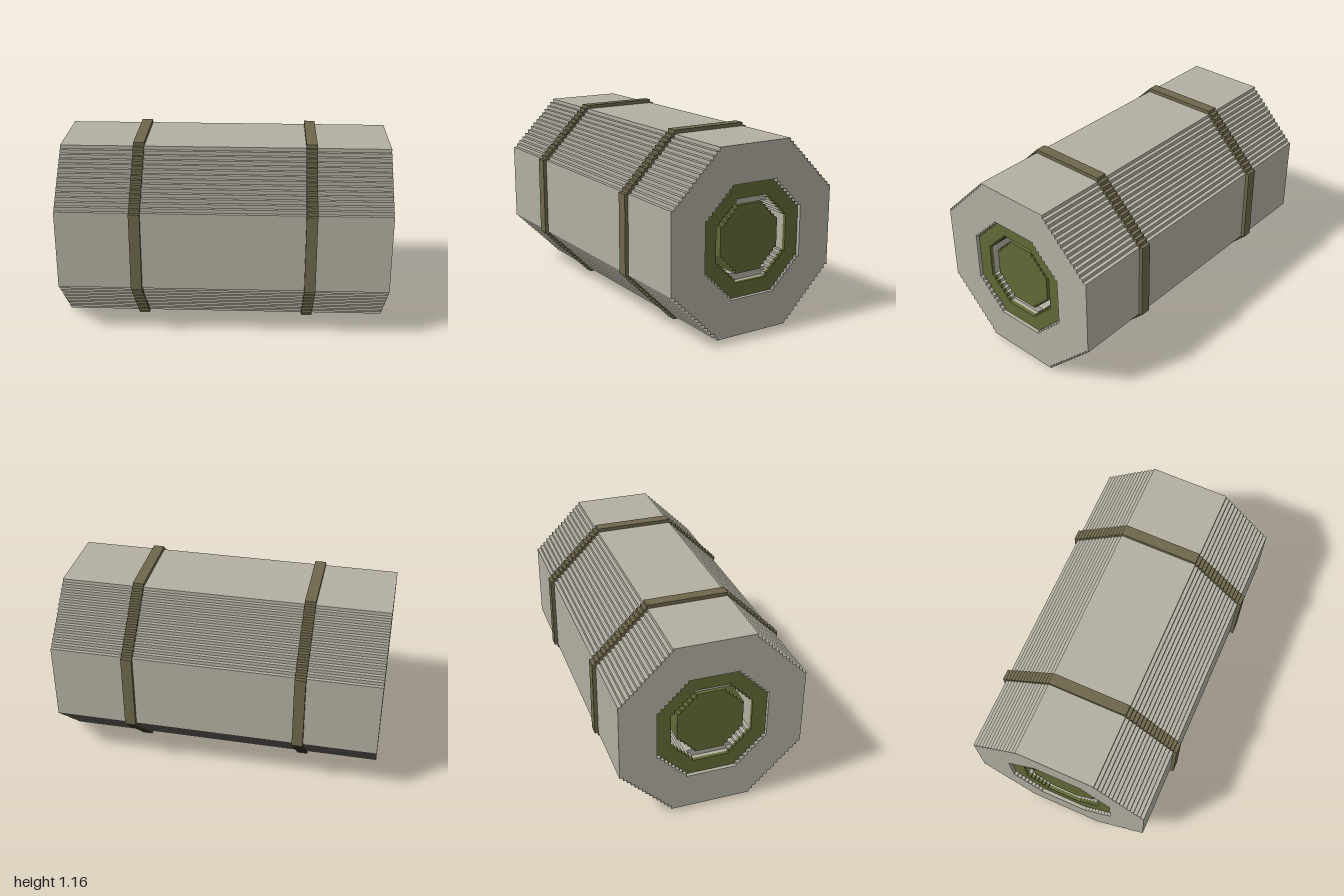
import * as THREE from 'three';

const U = 1 / 45; // one block
const CY = 26 * U; // height of the long axis

// corners of a stepped octagon with half size r and half flat f, in blocks
function steppedOctagon(r, f) {
  const quarter = [];
  for (let i = 0; i <= r - f; i++) {
    quarter.push([r - i, f + i]);
    if (i < r - f) quarter.push([r - i - 1, f + i]);
  }
  const points = [];
  for (let q = 0; q < 4; q++) {
    for (const [x, y] of quarter) {
      const p = [[x, y], [-y, x], [-x, -y], [y, -x]][q];
      points.push(new THREE.Vector2(p[0] * U, p[1] * U));
    }
  }
  return points;
}

export function createModel() {
  const model = new THREE.Group();
  model.name = 'cylinderBundle';

  const makeMaterial = (name, color) => {
    const m = new THREE.MeshStandardMaterial({ color });
    m.name = name;
    return m;
  };
  const beige = makeMaterial('beige', 0xb2aea1);
  const olive = makeMaterial('olive', 0x626937);
  const strapBrown = makeMaterial('strapBrown', 0x6e674b);

  const add = (name, geometry, material) => {
    const mesh = new THREE.Mesh(geometry, material);
    mesh.name = name;
    model.add(mesh);
  };

  // prism along x between two block positions, with an optional hole
  const prism = (name, material, x0, x1, outer, inner) => {
    const shape = new THREE.Shape(steppedOctagon(...outer));
    if (inner) shape.holes.push(new THREE.Path(steppedOctagon(...inner)));
    const g = new THREE.ExtrudeGeometry(shape, { depth: (x1 - x0) * U, bevelEnabled: false });
    g.rotateY(Math.PI / 2);
    g.translate(x0 * U, CY, 0);
    add(name, g, material);
  };

  // shell, inner lining and core
  prism('shell', beige, -45, 45, [25, 11], [15, 7]);
  prism('lining', beige, -43, 43, [15, 7], [11, 5]);
  prism('core', olive, -43, 43, [9, 4]);

  // recessed end rings
  prism('ringLeft', olive, 43, 44, [15, 7], [11, 5]);
  prism('ringRight', olive, -44, -43, [15, 7], [11, 5]);

  // straps
  prism('strapLeft', strapBrown, 22, 25, [26, 11], [20, 9]);
  prism('strapRight', strapBrown, -25, -22, [26, 11], [20, 9]);

  // ribs holding the core above and below
  for (const side of [1, -1]) {
    for (const [y, width] of [[9.5, 12], [10.5, 10]]) {
      const g = new THREE.BoxGeometry(84 * U, U, width * U);
      g.translate(0, CY + side * y * U, 0);
      add(side > 0 ? 'upperRib' : 'lowerRib', g, beige);
    }
  }
  return model;
}
